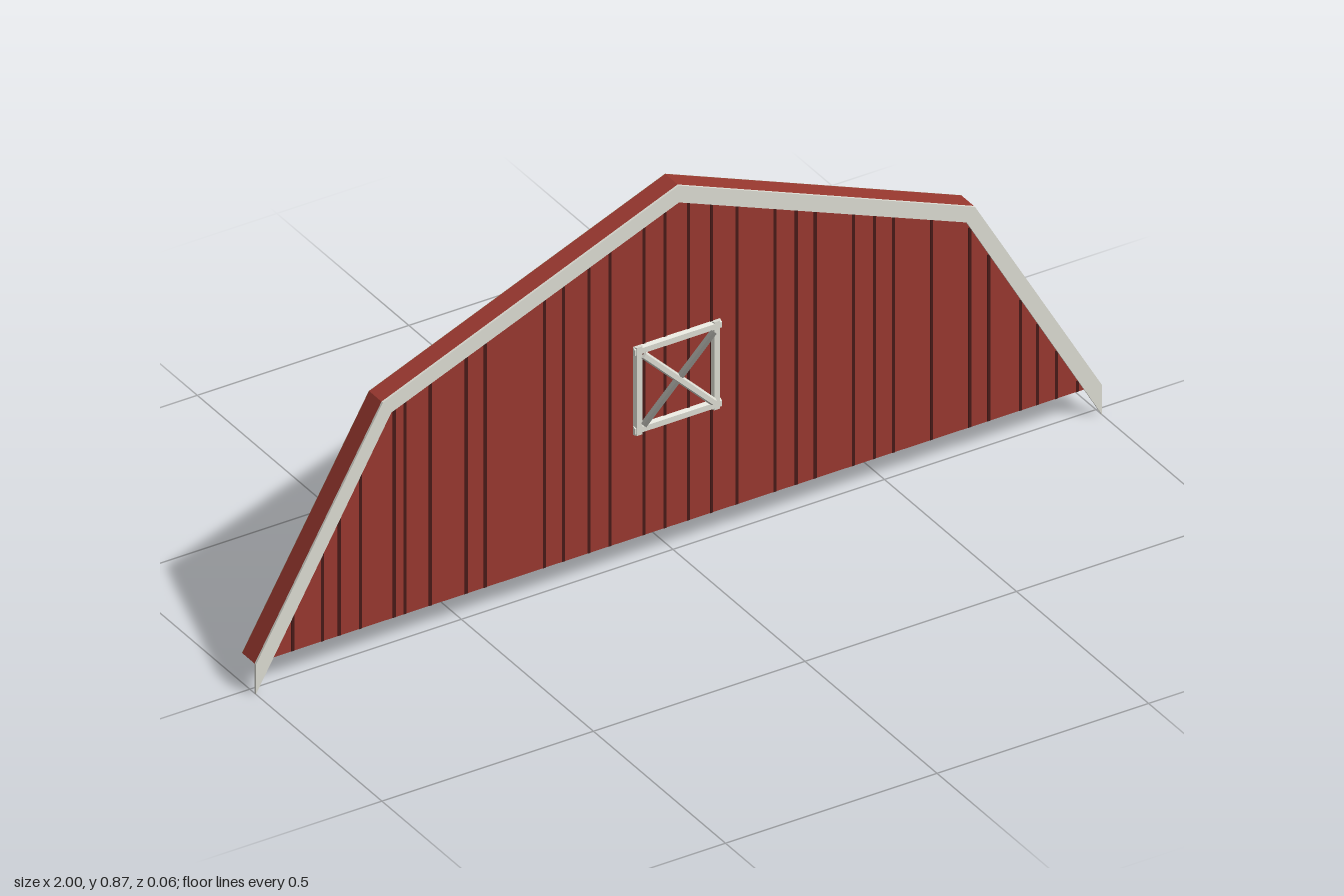
import * as THREE from 'three';

const mat = (name, color, extra = {}) => Object.assign(new THREE.MeshStandardMaterial({ color, ...extra }), { name });

export function createModel() {
  const red = mat('barn red', 0x99382f);
  const dark = mat('groove shadow', 0x471a17);
  const cream = mat('trim white', 0xdcdcd3);
  const grey = mat('brace grey', 0x83837e);
  const brown = mat('bare wood', 0x9a7b5c);
  const group = new THREE.Group();
  group.name = 'barnGable';

  const add = (name, geometry, material, parent = group) => {
    const mesh = new THREE.Mesh(geometry, material);
    mesh.name = name;
    parent.add(mesh);
    return mesh;
  };
  const shapeOf = pts => new THREE.Shape(pts.map(p => new THREE.Vector2(...p)));
  const slab = (pts, z, depth) =>
    new THREE.ExtrudeGeometry(shapeOf(pts), { depth, bevelEnabled: false }).translate(0, 0, z);

  // Gable wall with a bare wooden back
  const wall = [[-1, 0.07], [1, 0.07], [0.7, 0.59], [0, 0.872], [-0.7, 0.59]];
  add('wall', slab(wall, -0.029, 0.047), red);
  add('backPanel', slab(wall, -0.03, 0.001), brown);

  // Trim board along the roof edge, with tails hanging below the wall
  const trim = [
    [-1, 0], [-0.68, 0.56], [0, 0.832], [0.68, 0.56], [1, 0],
    [1, 0.07], [0.7, 0.59], [0, 0.872], [-0.7, 0.59], [-1, 0.07],
  ];
  add('roofTrim', slab(trim, 0.018, 0.005), cream);

  // Grooves between the planks, ending under the trim
  const innerHeight = x => {
    const a = Math.abs(x);
    return a < 0.68 ? 0.832 - a * 0.4 : (1 - a) * 1.75;
  };
  const grooves = [
    -0.91, -0.84, -0.80, -0.75, -0.67, -0.645, -0.585, -0.50, -0.455, -0.315, -0.27, -0.21, -0.16,
    -0.08, -0.03, 0.025, 0.08, 0.14, 0.23, 0.28, 0.325, 0.415, 0.465, 0.51, 0.60, 0.69, 0.735,
    0.81, 0.85, 0.895, 0.945,
  ];
  const planks = new THREE.Group();
  planks.name = 'plankGrooves';
  group.add(planks);
  for (const x of grooves) {
    const h = innerHeight(x) - 0.07;
    if (h < 0.01) continue;
    add('groove', new THREE.BoxGeometry(0.007, h, 0.001).translate(x, 0.07 + h / 2, 0.0183), dark, planks);
  }

  // Window: bars with chamfered sides
  const frame = new THREE.Group();
  frame.name = 'loftWindow';
  frame.position.set(-0.003, 0.419, 0);
  group.add(frame);
  const bar = (name, length, width, z, depth, angle, x, y, material) => {
    const w = width / 2;
    const geo = new THREE.ExtrudeGeometry(
      shapeOf([[-w, 0], [w, 0], [w * 0.6, depth], [-w * 0.6, depth]]),
      { depth: length, bevelEnabled: false },
    ).translate(0, 0, -length / 2).rotateX(Math.PI / 2).scale(1, 1, 1);
    // Turn the chamfered face to the front, then aim the bar
    geo.rotateZ(angle).translate(x, y, z);
    add(name, geo, material, frame);
  };
  for (const s of [-1, 1]) {
    bar('windowSide', 0.208, 0.022, 0.018, 0.008, 0, s * 0.092, 0, cream);
    bar('windowRail', 0.206, 0.022, 0.018, 0.0078, Math.PI / 2, 0, s * 0.093, cream);
  }
  bar('crossBrace', 0.235, 0.017, 0.025, 0.007, Math.PI / 4, 0, 0, cream);
  bar('crossBrace', 0.235, 0.017, 0.0245, 0.007, -Math.PI / 4, 0, 0, grey);
  return group;
}
